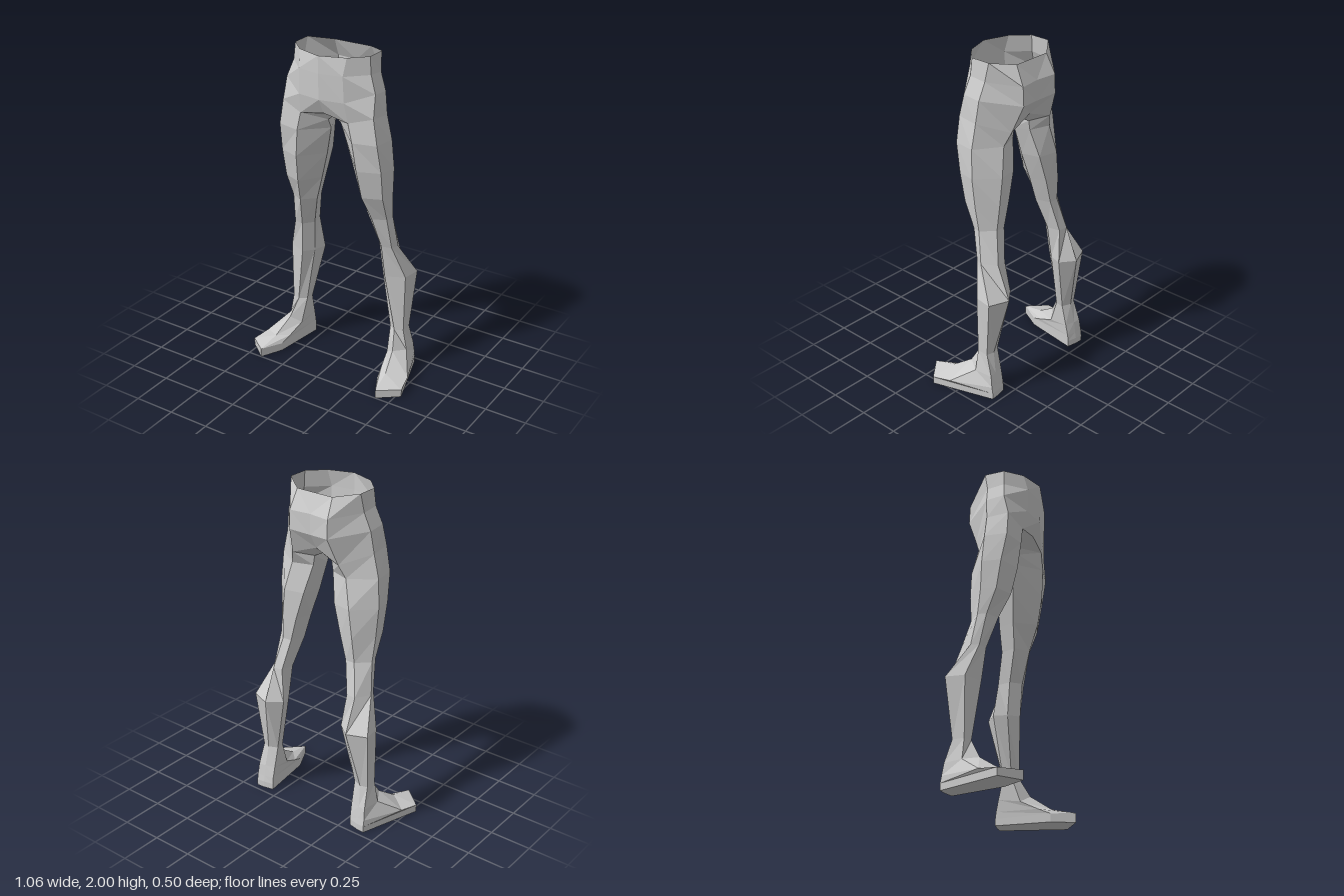
import * as THREE from 'three';

const material = new THREE.MeshStandardMaterial({
  color: 0xcccccc, flatShading: true, side: THREE.DoubleSide,
});

// Skins a list of cross-section rows; side -1 mirrors the part across x = 0.
function loft(name, rows, closed, side) {
  const n = rows[0].length;
  const pos = [], index = [];
  for (const row of rows) for (const [x, y, z] of row) pos.push(x * side, y, z);
  for (let i = 0; i < rows.length - 1; i++) {
    for (let j = 0; j < (closed ? n : n - 1); j++) {
      const k = (j + 1) % n;
      const a = i * n + j, b = i * n + k, c = a + n, d = b + n;
      if (side > 0) index.push(a, c, d, a, d, b);
      else index.push(a, d, c, a, b, d);
    }
  }
  let g = new THREE.BufferGeometry();
  g.setAttribute('position', new THREE.Float32BufferAttribute(pos, 3));
  g.setIndex(index);
  g = g.toNonIndexed();
  g.computeVertexNormals();
  const mesh = new THREE.Mesh(g, material);
  mesh.name = name;
  return mesh;
}

// Level leg section: front, outer front, outer back, back, inner back, inner front as [x, z]
const level = (y, ...pts) => pts.map(([x, z]) => [x, y, z]);

// Shared hip and crotch corners
const front = [0.155, 1.63, 0.155], outerFront = [0.295, 1.67, 0.12];
const outerBack = [0.305, 1.66, -0.01], back = [0.16, 1.6, -0.14];
const innerBack = [0.06, 1.58, -0.07], innerFront = [0.04, 1.58, 0.05];
const crotchFront = [0, 1.66, 0.16], crotchBack = [0, 1.66, -0.13];

// Half pelvis, from front centre round to back centre; waist left open
const pelvis = [
  [[0, 2, 0.21], [0.15, 2, 0.16], [0.24, 2, 0.07], [0.24, 2, -0.05], [0.12, 1.98, -0.14], [0, 1.98, -0.14]],
  [[0, 1.9, 0.21], [0.14, 1.9, 0.185], [0.25, 1.9, 0.075], [0.25, 1.89, -0.03], [0.13, 1.87, -0.195], [0, 1.87, -0.18]],
  [[0, 1.75, 0.205], [0.145, 1.75, 0.18], [0.287, 1.8, 0.09], [0.287, 1.79, -0.02], [0.13, 1.76, -0.2], [0, 1.75, -0.18]],
  [crotchFront, front, outerFront, outerBack, back, crotchBack],
];

// Underside strip between the thighs
const crotch = [
  [front, innerFront, innerBack, back],
  [crotchFront, [0, 1.61, 0.05], [0, 1.61, -0.07], crotchBack],
];

// Thigh, knee, calf and ankle
const ankle = level(0.28, [0.345, -0.07], [0.395, -0.09], [0.395, -0.16], [0.35, -0.172], [0.295, -0.15], [0.3, -0.1]);
const leg = [
  [front, outerFront, outerBack, back, innerBack, innerFront],
  level(1.52, [0.18, 0.155], [0.32, 0.122], [0.338, -0.01], [0.19, -0.11], [0.07, -0.07], [0.04, 0.02]),
  level(1.35, [0.2, 0.14], [0.33, 0.09], [0.35, -0.02], [0.23, -0.135], [0.11, -0.11], [0.08, 0]),
  level(1.18, [0.215, 0.105], [0.325, 0.06], [0.34, -0.03], [0.25, -0.132], [0.16, -0.12], [0.13, -0.02]),
  level(1.03, [0.245, 0.04], [0.32, 0], [0.332, -0.05], [0.26, -0.12], [0.2, -0.12], [0.172, -0.03]),
  level(0.84, [0.275, -0.02], [0.335, -0.035], [0.352, -0.08], [0.3, -0.165], [0.24, -0.16], [0.225, -0.08]),
  level(0.64, [0.29, -0.04], [0.4, -0.09], [0.418, -0.2], [0.3, -0.247], [0.215, -0.18], [0.24, -0.1]),
  ankle,
];

// Foot, from the ankle to a flat sole
const toes = [[0.41, 0.055, 0.25], [0.53, 0.045, 0.155], [0.41, 0.04, -0.217], [0.36, 0.04, -0.213], [0.3, 0.04, -0.2], [0.345, 0.05, 0.12]];
const sole = toes.map(([x, y, z]) => [x, 0, z]);
const foot = [
  ankle,
  [[0.37, 0.17, -0.01], [0.42, 0.155, -0.09], [0.405, 0.15, -0.2], [0.36, 0.15, -0.195], [0.298, 0.15, -0.18], [0.31, 0.13, -0.05]],
  [[0.395, 0.088, 0.11], [0.505, 0.06, 0.04], [0.41, 0.08, -0.21], [0.36, 0.08, -0.206], [0.3, 0.08, -0.195], [0.33, 0.08, 0.05]],
  toes,
  sole,
  sole.map(() => [0.4, 0, 0.02]),
];

export function createModel() {
  const model = new THREE.Group();
  model.name = 'lowerBody';
  for (const [label, side] of [['left', 1], ['right', -1]]) {
    const half = new THREE.Group();
    half.name = label + 'Half';
    half.add(
      loft(label + 'Pelvis', pelvis, false, side),
      loft(label + 'Crotch', crotch, false, side),
      loft(label + 'Leg', leg, true, side),
      loft(label + 'Foot', foot, true, side),
    );
    model.add(half);
  }
  return model;
}
